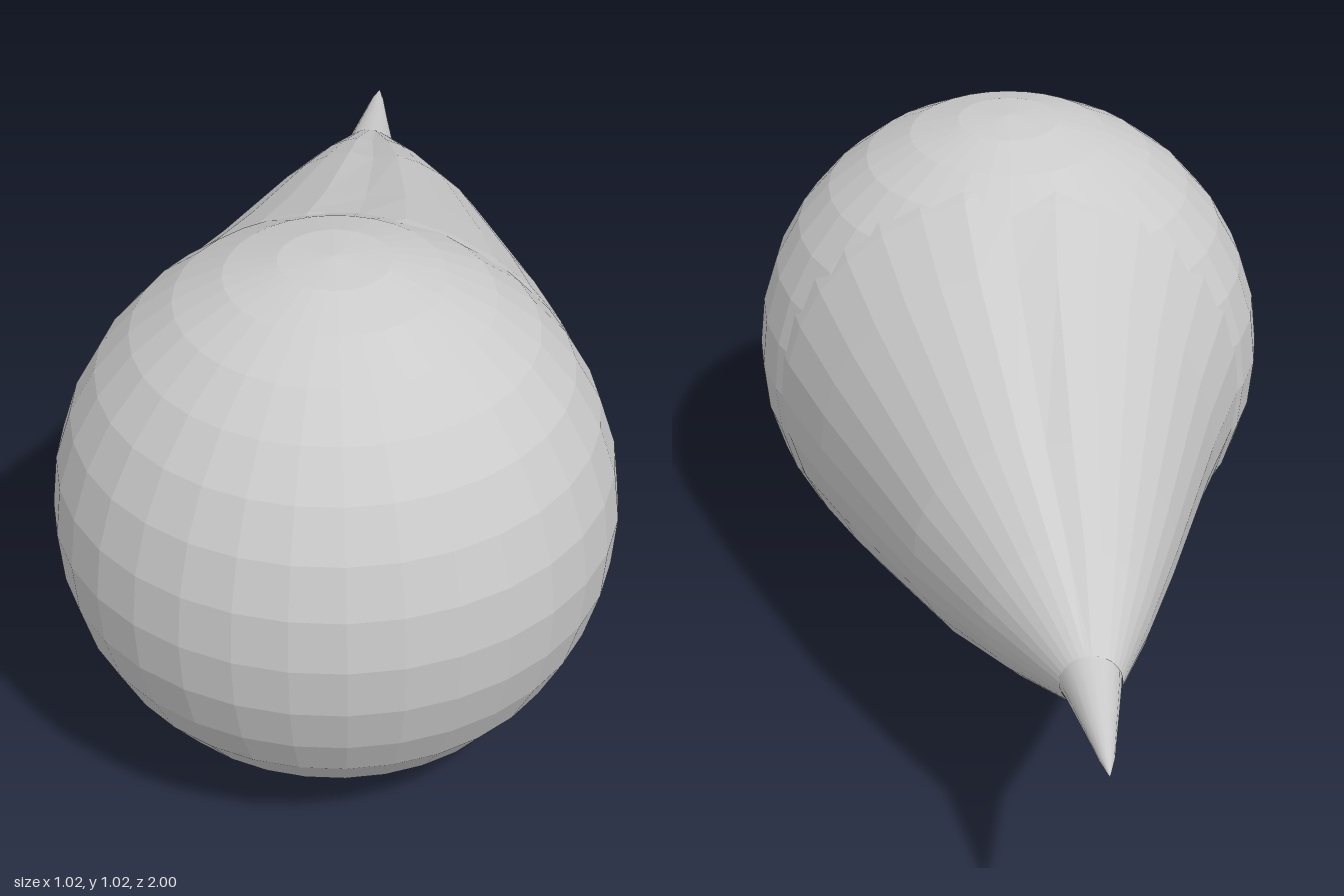
import * as THREE from 'three';

const R = 0.508, CZ = 0.49; // ball radius, and its centre along z

// Closed loft through round sections [z, centreX, radius, creaseDepth], front to back
function loft(sections, sides) {
  const pos = [], idx = [];
  for (const [z, cx, r, crease] of sections) {
    for (let i = 0; i < sides; i++) {
      const a = (i / sides) * Math.PI * 2;
      // shallow seams along the top and the bottom
      const seam = Math.abs(Math.sin(a)) > 0.999 ? crease : 0;
      pos.push(cx + Math.cos(a) * (r - seam), R + Math.sin(a) * (r - seam), z);
    }
  }
  for (let s = 0; s < sections.length - 1; s++) {
    for (let i = 0; i < sides; i++) {
      const a = s * sides + i, b = s * sides + (i + 1) % sides;
      const c = a + sides, d = b + sides;
      idx.push(a, c, b, b, c, d);
    }
  }
  const g = new THREE.BufferGeometry();
  g.setAttribute('position', new THREE.Float32BufferAttribute(pos, 3));
  g.setIndex(idx);
  g.computeVertexNormals();
  return g;
}

export function createModel() {
  const group = new THREE.Group();
  const flat = new THREE.MeshStandardMaterial({ color: 0xcccccc, flatShading: true });
  const smooth = new THREE.MeshStandardMaterial({ color: 0xcccccc, side: THREE.DoubleSide });
  const add = (name, geometry, material) => {
    const mesh = new THREE.Mesh(geometry, material);
    mesh.name = name;
    group.add(mesh);
    return mesh;
  };

  // Faceted ball
  add('eyeball', new THREE.SphereGeometry(R, 32, 16), flat).position.set(0, R, CZ);

  // Cone of muscle wrapping the back of the ball, drifting towards -x
  add('muscleCone', loft([
    [0.38, 0, 0.488, 0],
    [0.24, 0, 0.447, 0.012],
    [0.06, -0.012, 0.382, 0.015],
    [-0.32, -0.056, 0.243, 0.015],
    [-0.53, -0.09, 0.152, 0.01],
    [-0.73, -0.125, 0.055, 0],
  ], 32), flat);

  // Thin nerve tapering to a point
  add('nerve', loft([
    [-0.71, -0.122, 0.058, 0],
    [-0.75, -0.127, 0.05, 0],
    [-0.87, -0.137, 0.028, 0],
    [-0.95, -0.143, 0.014, 0],
    [-1.0, -0.146, 0.001, 0],
  ], 16), smooth);

  return group;
}
